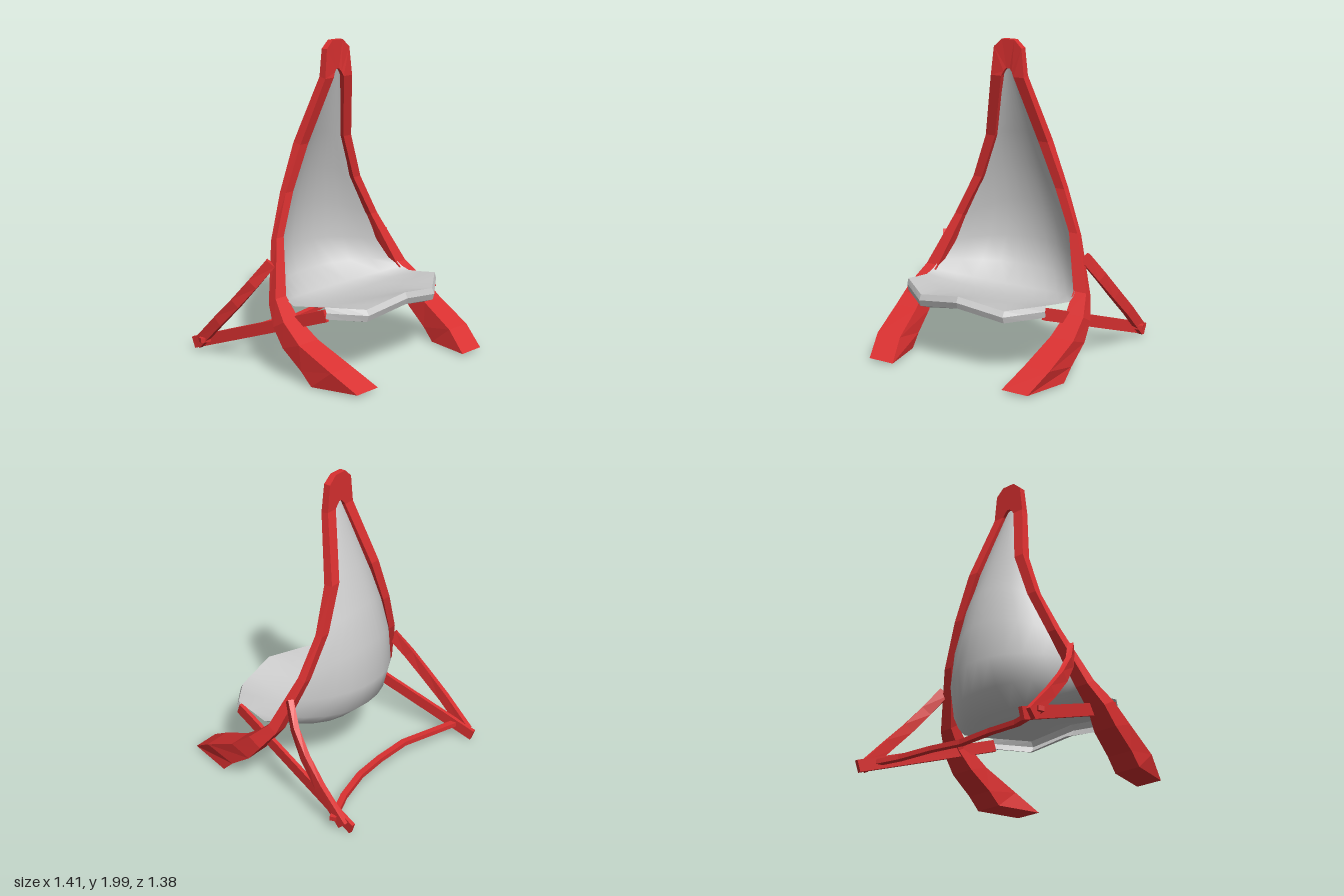
import * as THREE from 'three';

const V = (x, y, z) => new THREE.Vector3(x, y, z);
const red = new THREE.MeshStandardMaterial({ color: 0xd93030, flatShading: true });
const grey = new THREE.MeshStandardMaterial({ color: 0xcccccc, side: THREE.DoubleSide });
const greyFlat = new THREE.MeshStandardMaterial({ color: 0xcccccc, side: THREE.DoubleSide, flatShading: true });

function build(points, index, material, name) {
  const g = new THREE.BufferGeometry().setFromPoints(points);
  g.setIndex(index);
  g.computeVertexNormals();
  const mesh = new THREE.Mesh(g, material);
  mesh.name = name;
  return mesh;
}

// Closed solid through a list of four-cornered rings
function ringSolid(rings, name) {
  const index = [];
  for (let i = 0; i < rings.length - 1; i++) {
    for (let k = 0; k < 4; k++) {
      const a = i * 4 + k, b = i * 4 + (k + 1) % 4;
      index.push(a, b, b + 4, a, b + 4, a + 4);
    }
  }
  const e = (rings.length - 1) * 4;
  index.push(0, 2, 1, 0, 3, 2, e, e + 1, e + 2, e, e + 2, e + 3);
  return build(rings.flat(), index, red, name);
}

// Rectangular bar swept along points
function bar(path, w, h, name) {
  const rings = path.map((p, i) => {
    const t = path[Math.min(i + 1, path.length - 1)].clone().sub(path[Math.max(i - 1, 0)]).normalize();
    const s = t.clone().cross(V(0, 1, 0)).normalize();
    const u = s.clone().cross(t);
    return [[1, -1], [-1, -1], [-1, 1], [1, 1]].map(([a, b]) =>
      p.clone().addScaledVector(s, a * w / 2).addScaledVector(u, b * h / 2));
  });
  return ringSolid(rings, name);
}

// Arched frame: outer x, y, inner x, y, front z, back y offset, back z, back x offset
function archFrame() {
  const rows = [
    [.58, .03, .40, .03, .69, -.01, .38, .07],
    [.635, .14, .46, .14, .53, -.04, .30, .02],
    [.66, .26, .50, .26, .29, -.05, .15, 0],
    [.65, .37, .525, .37, .15, -.05, .06, 0],
    [.60, .48, .51, .48, .03, -.04, -.03, 0],
    [.46, .81, .40, .81, -.10, -.02, -.15, 0],
    [.34, 1.07, .275, 1.07, -.14, 0, -.19, 0],
    [.23, 1.36, .16, 1.36, -.12, .01, -.18, 0],
    [.12, 1.77, .045, 1.77, -.01, .01, -.06, 0],
    [.10, 1.95, .03, 1.80, -.015, 0, -.06, 0],
    [.045, 2.0, .012, 1.82, -.02, 0, -.06, 0],
  ];
  const ring = ([xo, yo, xi, yi, zf, dy, zb, dx], s) => {
    const r = [V(s * xo, yo, zf), V(s * (xo + dx), yo + dy, zb), V(s * (xi + dx), yi + dy, zb), V(s * xi, yi, zf)];
    return r;
  };
  const rings = [...rows.map(r => ring(r, 1)), ...rows.slice().reverse().map(r => ring(r, -1))];
  return ringSolid(rings, 'archFrame');
}

const COLS = 10;
const columns = Array.from({ length: COLS + 1 }, (_, i) => i / (COLS / 2) - 1);

// Front edge of the seat, five corners
function rimPoint(u) {
  const a = Math.abs(u), L = THREE.MathUtils.lerp;
  const k = a < .6 ? a / .6 : (a - .6) / .4;
  return a < .6 ? V(.51 * u, L(.5, .45, k), L(.55, .51, k)) : V(.51 * u, L(.45, .48, k), L(.51, .36, k));
}

function gridMesh(rows, material, name) {
  const index = [], n = COLS + 1;
  for (let i = 0; i < rows.length - 1; i++) {
    for (let j = 0; j < COLS; j++) {
      const a = i * n + j, b = a + n;
      index.push(a, b, b + 1, a, b + 1, a + 1);
    }
  }
  return build(rows.flat(), index, material, name);
}

// Sling shell: edge x, y, z and centre y, z of each row from peak to seat
function seatShell() {
  const rows = [
    [.04, 1.78, -.04, 1.82, -.04],
    [.17, 1.36, -.145, 1.40, -.165],
    [.285, 1.07, -.165, 1.17, -.255],
    [.41, .80, -.125, .92, -.31],
    [.475, .63, -.07, .66, -.34],
    [.515, .51, 0, .48, -.29],
    [.53, .46, .06, .37, -.17],
    [.535, .44, .12, .36, 0],
    [.52, .46, .25, .41, .28],
  ].map(([x, ye, ze, yc, zc]) => columns.map(u => {
    const k = Math.abs(u) ** 2.2;
    return V(x * u, yc + (ye - yc) * k, zc + (ze - zc) * k);
  }));
  return gridMesh([...rows, columns.map(rimPoint)], grey, 'seatShell');
}

// Folded band along the seat front
function seatRim() {
  const fold = [[0, 1], [-.035, 1.035], [-.075, 1.01], [-.095, .9]];
  const rows = fold.map(([dy, s]) => columns.map(u => {
    const p = rimPoint(u);
    return V(p.x * Math.min(s, 1), p.y + dy, p.z * s);
  }));
  return gridMesh(rows, greyFlat, 'seatRim');
}

export function createModel() {
  const group = new THREE.Group();
  group.add(archFrame(), seatShell(), seatRim());

  // Side rails and bent rear struts
  for (const [s, side] of [[1, 'left'], [-1, 'right']]) {
    group.add(bar([V(s * .50, .425, .36), V(s * .65, .05, -.675)], .025, .075, side + 'SideRail'));
    const strut = [[.525, .67, -.085], [.59, .53, -.18], [.63, .39, -.295], [.655, .25, -.43], [.665, .06, -.62]];
    group.add(bar(strut.map(([x, y, z]) => V(s * x, y, z)), .035, .07, side + 'RearStrut'));
  }

  // Bowed rear crossbar
  const cross = [[-.70, .10, -.565], [-.45, .10, -.485], [-.2, .125, -.435], [.04, .12, -.42],
    [.27, .13, -.44], [.49, .115, -.485], [.70, .10, -.565]];
  group.add(bar(cross.map(p => V(...p)), .04, .03, 'rearCrossbar'));
  return group;
}
